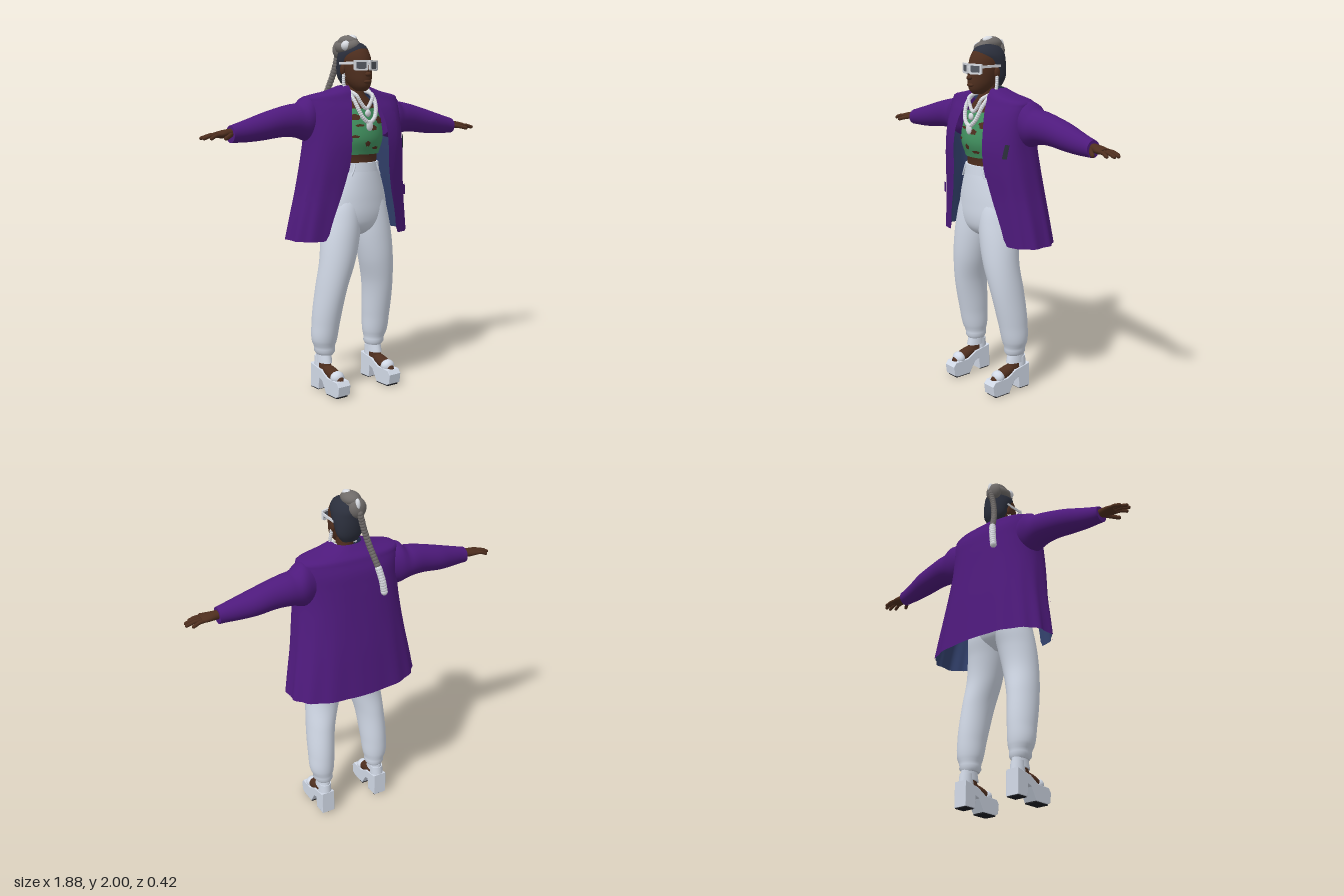
import * as THREE from 'three';
import { mergeGeometries } from 'three/addons/utils/BufferGeometryUtils.js';

const V = (x, y, z) => new THREE.Vector3(x, y, z);
const MATS = {};
for (const [name, color] of Object.entries({
  purpleCloth: 0x4e1a7c, navyLining: 0x33426e, paleCloth: 0xd6deec, skin: 0x4e2e1e, greenTop: 0x41905f,
  darkHair: 0x2b2f3c, greyBraid: 0x6f6b69, silver: 0xd9dce2, lens: 0x565a63, blackSole: 0x1c1d22,
})) MATS[name] = new THREE.MeshStandardMaterial({ name, color });

// Joins indexed geometries, keeping only positions and normals
const merge = (...geos) => mergeGeometries(geos.map(g => g.deleteAttribute('uv')));

// Grid surface from fn(u, v); it faces along du x dv
function surface(fn, nu, nv, closed = false) {
  const pos = [], idx = [], cols = closed ? nu : nu + 1;
  for (let j = 0; j <= nv; j++) for (let i = 0; i < cols; i++) pos.push(...fn(i / nu, j / nv).toArray());
  for (let j = 0; j < nv; j++) for (let i = 0; i < nu; i++) {
    const a = j * cols + i, b = j * cols + (i + 1) % cols;
    idx.push(a, b, b + cols, a, b + cols, a + cols);
  }
  const g = new THREE.BufferGeometry();
  g.setAttribute('position', new THREE.Float32BufferAttribute(pos, 3));
  g.setIndex(idx);
  g.computeVertexNormals();
  return g;
}

// Reverses the corner order, and mirrors across x if asked
function turned(geo, mirror = false) {
  const g = geo.index ? geo.toNonIndexed() : geo.clone();
  if (mirror) g.scale(-1, 1, 1);
  for (const a of Object.values(g.attributes)) for (let i = 0; i < a.count; i += 3)
    for (let k = 0; k < a.itemSize; k++) {
      const p = (i + 1) * a.itemSize + k, q = (i + 2) * a.itemSize + k;
      [a.array[p], a.array[q]] = [a.array[q], a.array[p]];
    }
  if (!mirror) g.attributes.normal.array.forEach((n, i, arr) => { arr[i] = -n; });
  return g;
}

// Smooth lookup in rows of [position, four values]
function smooth(rows) {
  const it = new THREE.CubicInterpolant(rows.map(r => r[0]), rows.flatMap(r => r.slice(1)), 4, new Float32Array(4));
  return p => [...it.evaluate(p)];
}

// Point on a body with rows [y, x0, x1, z0, z1], or [x, y0, y1, z0, z1] along x
function ring(rows, alongX = false) {
  const at = smooth(rows);
  return (t, p, off = 0) => {
    const [a0, a1, b0, b1] = at(p);
    const ca = (a0 + a1) / 2, ra = (a1 - a0) / 2 + off, cb = (b0 + b1) / 2, rb = (b1 - b0) / 2 + off;
    return alongX ? V(p, ca + ra * Math.cos(t), cb + rb * Math.sin(t)) : V(ca + ra * Math.sin(t), p, cb + rb * Math.cos(t));
  };
}

// Capped loft through the rows
function loft(rows, { alongX = false, nu = 36, nv = 30 } = {}) {
  const f = ring(rows, alongX), p0 = rows[0][0], p1 = rows.at(-1)[0];
  const cap = (p, top) => {
    const c = f(0, p).add(f(Math.PI, p)).multiplyScalar(0.5);
    return surface((u, v) => f(u * 2 * Math.PI, p).lerp(c, top ? v : 1 - v), nu, 1, true);
  };
  return merge(surface((u, v) => f(u * 2 * Math.PI, p0 + (p1 - p0) * v), nu, nv, true), cap(p0, false), cap(p1, true));
}

const ball = (x, y, z, rx, ry = rx, rz = rx, n = 20) => new THREE.SphereGeometry(1, n, Math.ceil(n * 0.6)).scale(rx, ry, rz).translate(x, y, z);
const box = (w, h, d, x, y, z) => new THREE.BoxGeometry(w, h, d).translate(x, y, z);
const curve = pts => new THREE.CatmullRomCurve3(pts.map(p => V(...p)));
const tube = (r, ...pts) => new THREE.TubeGeometry(curve(pts), 24, r, 10);
const beads = (n, r, ...pts) => merge(...curve(pts).getSpacedPoints(n).map(p => ball(p.x, p.y, p.z, r, r, r, 10)));

// Jacket shell rows: [y, half opening, half width, front z, back z]
const jacketRow = smooth([
  [0.885, 0.235, 0.39, 0.16, -0.205], [1.0, 0.215, 0.37, 0.17, -0.193], [1.15, 0.17, 0.342, 0.185, -0.177],
  [1.3, 0.137, 0.32, 0.203, -0.158], [1.42, 0.128, 0.305, 0.208, -0.143], [1.52, 0.12, 0.3, 0.193, -0.13], [1.6, 0.1, 0.3, 0.165, -0.117],
  [1.645, 0.085, 0.298, 0.14, -0.1], [1.67, 0.08, 0.285, 0.128, -0.09], [1.692, 0.072, 0.18, 0.12, -0.065], [1.725, 0.062, 0.08, 0.1, -0.03]]);
function jacketPoint(u, y, off = 0) {
  const [open, w, zf, zb] = jacketRow(y), p = 0.75;
  const t0 = Math.asin(Math.pow(open / w, 1 / p)), t = t0 + u * 2 * (Math.PI - t0);
  const hem = Math.max(0, 1 - (y - 0.885) / 0.5), e = Math.min(u, 1 - u);
  const fold = 1 + 0.014 * hem * Math.cos(14 * t);
  const pow = (c, q) => Math.sign(c) * Math.pow(Math.abs(c), q);
  const lift = 0.035 * Math.exp(-((e / 0.009) ** 2)) * Math.max(0, 1 - (y - 0.885) / 0.12);
  const depth = pow(Math.cos(t), Math.cos(t) > 0 ? 0.65 : 1);
  return V((w + off) * fold * pow(Math.sin(t), p), y + lift, (zf + zb) / 2 + ((zf - zb) / 2 + off) * fold * depth);
}
const jacketPatch = (u0, u1, y0, y1, off) => surface((u, v) => jacketPoint(u0 + (u1 - u0) * u, y0 + (y1 - y0) * v, off), 8, 12);

export function createModel() {
  const root = new THREE.Group();
  root.name = 'figure';
  const add = (name, geo, mat) => {
    const m = new THREE.Mesh(geo, MATS[mat]);
    m.name = name;
    root.add(m);
  };
  const pair = (name, geo, mat) => { add(name + 'Left', geo, mat); add(name + 'Right', turned(geo, true), mat); };

  // Jacket: shell, lining, lapels, pocket flaps, sleeves
  const heightAt = v => 0.885 + 0.84 * (1 - Math.pow(1 - v, 1.6));
  add('jacketBody', surface((u, v) => jacketPoint(u, heightAt(v)), 160, 50), 'purpleCloth');
  add('jacketLining', turned(surface((u, v) => jacketPoint(u, heightAt(v), -0.006), 160, 50)), 'navyLining');
  const lapelWidth = y => y < 1.58 ? 0.012 + 0.05 * (y - 1.26) / 0.32 : 0.045 + 0.2 * (y - 1.58);
  pair('lapel', surface((u, v) => jacketPoint(u * lapelWidth(1.26 + 0.44 * v), 1.26 + 0.44 * v, 0.009), 8, 60), 'purpleCloth');
  pair('pocketFlap', jacketPatch(0.06, 0.16, 1.105, 1.165, 0.01), 'purpleCloth');
  add('pocketSquare', surface((u, v) => jacketPoint(0.09 + 0.025 * u + 0.02 * v, 1.375 + 0.075 * v, 0.006), 8, 12), 'darkHair');
  pair('sleeve', loft([
    [0.24, 1.44, 1.655, -0.075, 0.09], [0.29, 1.425, 1.67, -0.09, 0.1], [0.312, 1.43, 1.66, -0.092, 0.1], [0.335, 1.44, 1.635, -0.09, 0.095], [0.38, 1.45, 1.628, -0.088, 0.088],
    [0.45, 1.452, 1.614, -0.08, 0.08], [0.57, 1.44, 1.582, -0.072, 0.075], [0.66, 1.435, 1.555, -0.05, 0.068],
    [0.74, 1.435, 1.532, -0.032, 0.06], [0.765, 1.435, 1.525, -0.03, 0.06]], { alongX: true }), 'purpleCloth');

  // Hands
  const fingers = [[0.05, 0.9, 0.062], [0.03, 0.928, 0.038], [0.01, 0.932, 0.012], [-0.008, 0.905, -0.014]];
  pair('hand', merge(
    loft([[0.74, 1.462, 1.51, -0.012, 0.04], [0.78, 1.462, 1.508, -0.014, 0.045], [0.82, 1.462, 1.502, -0.02, 0.06], [0.855, 1.465, 1.494, -0.018, 0.06]], { alongX: true, nu: 20, nv: 10 }),
    ...fingers.flatMap(([z, tip, zt]) => [
      tube(0.0095, [0.84, 1.48, z], [(0.84 + tip) / 2, 1.478, (z + zt) / 2], [tip, 1.466, zt]), ball(tip, 1.466, zt, 0.0095, 0.0095, 0.0095, 10)]),
    tube(0.011, [0.77, 1.48, 0.035], [0.8, 1.474, 0.066], [0.832, 1.465, 0.088]), ball(0.832, 1.465, 0.088, 0.011, 0.011, 0.011, 10),
  ), 'skin');

  // Torso, neck and cropped top
  const chest = [[1.26, -0.13, 0.13, -0.04, 0.165], [1.34, -0.135, 0.135, -0.05, 0.165], [1.43, -0.155, 0.155, -0.06, 0.19],
    [1.5, -0.155, 0.155, -0.06, 0.182], [1.58, -0.14, 0.14, -0.05, 0.155], [1.64, -0.1, 0.1, -0.02, 0.13],
    [1.68, -0.055, 0.055, 0.0, 0.115], [1.76, -0.048, 0.045, 0.01, 0.105]];
  const skinAt = ring(chest);
  add('torso', loft(chest), 'skin');
  add('croppedTop', surface((u, v) => skinAt(u * 2 * Math.PI, 1.35 + 0.25 * v, 0.008), 48, 20, true), 'greenTop');
  const blob = (t, y, w, h) => surface((u, v) => {
    const r = (1 - v) * (1 + 0.12 * Math.sin(u * 10 * Math.PI)), a = u * 2 * Math.PI;
    return skinAt(t + w * r * Math.cos(a), y + h * r * Math.sin(a), 0.012);
  }, 30, 4, true);
  [[-0.5, 1.555, 0.22, 0.016], [0.62, 1.535, 0.24, 0.02], [-0.08, 1.41, 0.1, 0.015], [0.3, 1.385, 0.16, 0.008], [-0.55, 1.45, 0.16, 0.008],
    [0.2, 1.495, 0.14, 0.014], [-0.35, 1.51, 0.16, 0.007]].forEach(b => add('topPatch', blob(...b), 'skin'));

  // Trousers
  add('hips', loft([[0.9, -0.06, 0.06, 0.03, 0.12], [0.92, -0.12, 0.12, 0.0, 0.15], [0.95, -0.18, 0.18, -0.035, 0.173], [1.0, -0.205, 0.205, -0.06, 0.187], [1.1, -0.195, 0.195, -0.07, 0.19],
    [1.2, -0.165, 0.165, -0.06, 0.185], [1.27, -0.14, 0.14, -0.05, 0.178], [1.3, -0.135, 0.135, -0.045, 0.173]]), 'paleCloth');
  add('waistband', loft([[1.255, -0.144, 0.144, -0.053, 0.184], [1.305, -0.138, 0.138, -0.05, 0.18]], { nv: 4 }), 'paleCloth');
  pair('leg', loft([[0.215, 0.13, 0.222, -0.042, 0.066], [0.23, 0.12, 0.235, -0.05, 0.076], [0.26, 0.122, 0.236, -0.05, 0.076], [0.28, 0.115, 0.248, -0.056, 0.085],
    [0.4, 0.103, 0.256, -0.06, 0.115], [0.6, 0.08, 0.248, -0.042, 0.16], [0.75, 0.037, 0.236, -0.025, 0.182],
    [0.88, 0.006, 0.224, -0.035, 0.187], [0.98, -0.01, 0.209, -0.055, 0.184], [1.08, -0.02, 0.185, -0.055, 0.174], [1.2, -0.02, 0.12, -0.03, 0.15]], { nv: 56 }), 'paleCloth');
  pair('drawstring', tube(0.005, [0.075, 1.3, 0.162], [0.085, 1.265, 0.165], [0.1, 1.235, 0.162]), 'paleCloth');

  // Platform sandals and feet
  const sole = new THREE.Shape([[0.2, 0.018], [0.207, 0.07], [0.19, 0.092], [0.1, 0.095], [0.04, 0.13], [-0.058, 0.15],
    [-0.06, 0.016], [0.012, 0.016], [0.018, 0.085], [0.05, 0.075], [0.09, 0.008], [0.18, 0.008]].map(p => new THREE.Vector2(...p)));
  pair('platformSole', new THREE.ExtrudeGeometry(sole, { depth: 0.076, bevelEnabled: true, bevelSize: 0.003, bevelThickness: 0.003, bevelSegments: 2 })
    .translate(0, 0, -0.038).rotateY(-Math.PI / 2).translate(0.182, 0, 0), 'paleCloth');
  pair('frontTread', box(0.074, 0.009, 0.1, 0.182, 0.0045, 0.137), 'blackSole');
  pair('heelTread', box(0.074, 0.009, 0.066, 0.182, 0.0125, -0.025), 'blackSole');
  pair('foot', merge(
    loft([[0.13, 0.148, 0.216, -0.05, 0.08], [0.17, 0.15, 0.212, -0.045, 0.06], [0.24, 0.15, 0.208, -0.03, 0.045]], { nu: 24, nv: 10 }),
    ball(0, 0, 0, 0.036, 0.032, 0.1).rotateX(0.3).translate(0.182, 0.118, 0.095)), 'skin');
  pair('toeStrap', ball(0.182, 0.105, 0.14, 0.042, 0.036, 0.036), 'paleCloth');
  pair('heelCounter', loft([[0.135, 0.143, 0.221, -0.06, 0.03], [0.2, 0.144, 0.218, -0.052, 0.02]], { nu: 24, nv: 6 }), 'paleCloth');
  pair('ankleStrap', loft([[0.168, 0.142, 0.22, -0.052, 0.072], [0.218, 0.143, 0.217, -0.046, 0.06]], { nu: 24, nv: 4 }), 'paleCloth');

  // Head and face
  const cx = -0.004;
  add('head', loft([[1.695, -0.028, 0.02, 0.09, 0.155], [1.71, -0.044, 0.036, 0.06, 0.174], [1.74, -0.062, 0.054, 0.025, 0.184],
    [1.79, -0.074, 0.066, -0.01, 0.184], [1.84, -0.079, 0.071, -0.03, 0.178], [1.89, -0.077, 0.069, -0.034, 0.166],
    [1.93, -0.058, 0.05, -0.02, 0.14], [1.953, -0.03, 0.022, 0.02, 0.1]]), 'skin');
  add('nose', merge(ball(cx, 1.785, 0.185, 0.018, 0.013, 0.017), ball(cx, 1.815, 0.178, 0.01, 0.03, 0.012)), 'skin');
  add('lips', ball(cx, 1.745, 0.18, 0.024, 0.011, 0.014), 'skin');
  for (const s of [-1, 1]) add('ear', ball(cx + s * 0.076, 1.81, 0.055, 0.012, 0.03, 0.018), 'skin');

  // Hair, bun and long braid
  add('hairCap', loft([[1.735, -0.05, 0.042, -0.02, 0.03], [1.77, -0.074, 0.066, -0.036, 0.055], [1.82, -0.084, 0.076, -0.044, 0.085],
    [1.87, -0.086, 0.078, -0.044, 0.125], [1.91, -0.078, 0.07, -0.04, 0.15], [1.945, -0.052, 0.044, -0.01, 0.125], [1.963, -0.02, 0.014, 0.03, 0.08]]), 'darkHair');
  add('bun', merge(
    new THREE.TorusGeometry(0.042, 0.03, 14, 30).rotateX(Math.PI / 2).scale(0.85, 1, 1.2).rotateZ(0.3).translate(-0.032, 1.938, 0.035),
    ball(-0.02, 1.96, 0.025, 0.05, 0.038, 0.07), ball(-0.03, 1.92, -0.03, 0.05, 0.055, 0.036)), 'greyBraid');
  add('bunHighlight', merge(ball(-0.012, 1.979, 0.045, 0.024, 0.021, 0.04), ball(-0.068, 1.938, 0.07, 0.026, 0.028, 0.028), ball(-0.02, 1.945, -0.048, 0.014, 0.035, 0.018)), 'silver');
  const tail = [[-0.03, 1.9, -0.055], [-0.055, 1.8, -0.06], [-0.08, 1.7, -0.085], [-0.105, 1.6, -0.127], [-0.12, 1.53, -0.143], [-0.13, 1.465, -0.148]];
  add('braid', merge(tube(0.014, ...tail), beads(26, 0.018, ...tail)), 'greyBraid');
  add('braidBeads', beads(9, 0.02, ...tail.slice(3)), 'silver');

  // Sunglasses
  const rim = (w, h) => new THREE.Shape([[-w, -h * 0.8], [-w * 0.75, -h], [w * 0.75, -h], [w, -h * 0.8], [w, h], [-w, h]].map(p => new THREE.Vector2(...p)));
  for (const s of [-1, 1]) {
    const x = cx + s * 0.04, frame = rim(0.04, 0.028), turn = s * 0.35;
    frame.holes.push(rim(0.029, 0.018));
    add('glassesFrame', new THREE.ExtrudeGeometry(frame, { depth: 0.012, bevelEnabled: false }).rotateY(turn).translate(x, 1.832, 0.171), 'silver');
    add('glassesLens', box(0.064, 0.042, 0.006, 0, 0, 0.006).rotateY(turn).translate(x, 1.832, 0.171), 'lens');
    add('glassesArm', box(0.007, 0.014, 0.13, cx + s * 0.08, 1.845, 0.1), 'silver');
  }
  add('glassesBridge', box(0.018, 0.01, 0.012, cx, 1.842, 0.188), 'silver');

  // Jewellery
  const chain = (w, top, low, z) => [[-w, top, 0.06], [-w, (top + low) / 2 + 0.02, 0.15], [-w * 0.6, low + 0.03, z - 0.005], [0, low, z],
    [w * 0.6, low + 0.03, z - 0.005], [w, (top + low) / 2 + 0.02, 0.15], [w, top, 0.06]];
  add('longNecklace', beads(46, 0.012, ...chain(0.07, 1.72, 1.525, 0.192)), 'silver');
  add('shortNecklace', beads(34, 0.011, ...chain(0.055, 1.7, 1.6, 0.165)), 'silver');
  add('pendant', merge(ball(0, 1.508, 0.195, 0.022, 0.03, 0.011), ball(0, 1.575, 0.18, 0.018, 0.02, 0.012)), 'silver');
  pair('earring', beads(9, 0.01, [0.076, 1.785, 0.06], [0.08, 1.74, 0.065], [0.078, 1.69, 0.075]), 'silver');
  return root;
}
